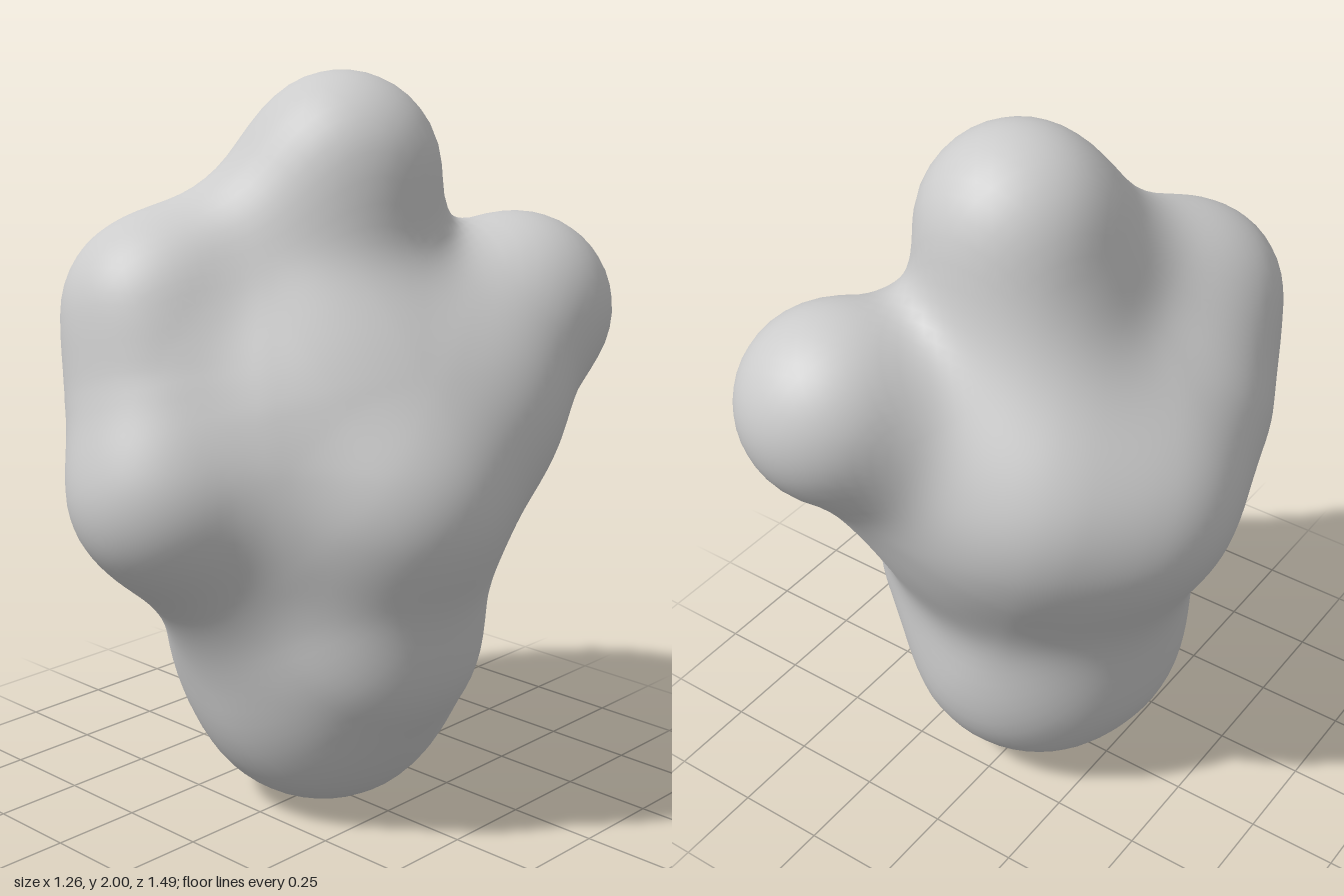
import * as THREE from 'three';
import { mergeVertices } from 'three/addons/utils/BufferGeometryUtils.js';

const V = (x, y, z) => new THREE.Vector3(x, y, z);
const BLEND = 0.065;

// Lumps of the blob: centre and outer radius
const lumps = {
  core: { p: V(0, 1.05, 0), r: 0.53 },
  base: { p: V(0.01, 0.365, 0.01), r: 0.365 },
  baseRight: { p: V(-0.1, 0.47, 0.02), r: 0.31 },
  top: { p: V(0.02, 1.74, -0.05), r: 0.26 },
  back: { p: V(0.27, 1.35, -0.485), r: 0.26 },
  frontUpper: { p: V(-0.22, 1.405, 0.39), r: 0.24 },
  frontMiddle: { p: V(-0.17, 1.2, 0.4), r: 0.24 },
  frontLower: { p: V(-0.08, 0.955, 0.49), r: 0.255 },
  left: { p: V(0.35, 0.93, 0.08), r: 0.267 },
  leftLower: { p: V(0.24, 0.55, 0.05), r: 0.275 },
  leftBack: { p: V(0.32, 1.12, -0.2), r: 0.255 },
  right: { p: V(-0.35, 1.08, -0.08), r: 0.267 },
  rightFront: { p: V(-0.28, 1.2, 0.2), r: 0.25 },
  rightBack: { p: V(-0.2, 1.14, -0.23), r: 0.26 },
};

// Tapered limbs joining pairs of lumps
const pairs = [
  ['core', 'base'], ['core', 'top'], ['core', 'back'], ['core', 'frontUpper'],
  ['core', 'frontLower'], ['core', 'left'], ['core', 'right'], ['core', 'rightBack'],
  ['core', 'leftLower'], ['core', 'leftBack'],
  ['frontUpper', 'frontMiddle'], ['frontMiddle', 'frontLower'], ['frontUpper', 'top'],
  ['frontUpper', 'rightFront'], ['rightFront', 'right'], ['frontLower', 'base'],
  ['frontLower', 'right'], ['top', 'rightBack'], ['back', 'leftBack'], ['leftBack', 'left'],
  ['left', 'leftLower'], ['leftLower', 'base'], ['right', 'baseRight'],
  ['baseRight', 'base'], ['right', 'rightBack'],
];

// Blending swells a lump where several limbs meet, so limbs end a little thinner there
function limbRadius(name) {
  const count = pairs.filter((pair) => pair.includes(name)).length;
  return lumps[name].r - BLEND * Math.log(count);
}

const limbs = pairs.map(([a, b]) => {
  const axis = lumps[b].p.clone().sub(lumps[a].p);
  return { from: lumps[a].p, axis, len2: axis.lengthSq(), r0: limbRadius(a), r1: limbRadius(b) };
});

// Smoothly blended distance to all limbs
const q = V(0, 0, 0);
function distance(p) {
  let sum = 0;
  for (const l of limbs) {
    q.copy(p).sub(l.from);
    const t = THREE.MathUtils.clamp(q.dot(l.axis) / l.len2, 0, 1);
    const d = q.addScaledVector(l.axis, -t).length() - (l.r0 + (l.r1 - l.r0) * t);
    sum += Math.exp(-d / BLEND);
  }
  return -BLEND * Math.log(sum);
}

// Shrink-wrap a sphere onto the blended limbs
function blobGeometry() {
  let geo = new THREE.IcosahedronGeometry(1, 26);
  geo.deleteAttribute('uv');
  geo.deleteAttribute('normal');
  geo = mergeVertices(geo, 1e-4);
  const pos = geo.attributes.position;
  const centre = V(0, 1.02, 0), dir = V(0, 0, 0), p = V(0, 0, 0);
  for (let i = 0; i < pos.count; i++) {
    dir.fromBufferAttribute(pos, i).normalize();
    let t = 1.4;
    for (let k = 0; k < 70; k++) {
      const d = distance(p.copy(centre).addScaledVector(dir, t));
      if (Math.abs(d) < 1e-4) break;
      t -= d * 0.75;
    }
    p.copy(centre).addScaledVector(dir, t);
    pos.setXYZ(i, p.x, p.y, p.z);
  }
  geo.computeVertexNormals();
  return geo;
}

export function createModel() {
  const group = new THREE.Group();
  group.name = 'lumpyBlob';
  const body = new THREE.Mesh(blobGeometry(), new THREE.MeshStandardMaterial({ color: 0xcccccc }));
  body.name = 'body';
  group.add(body);
  return group;
}
